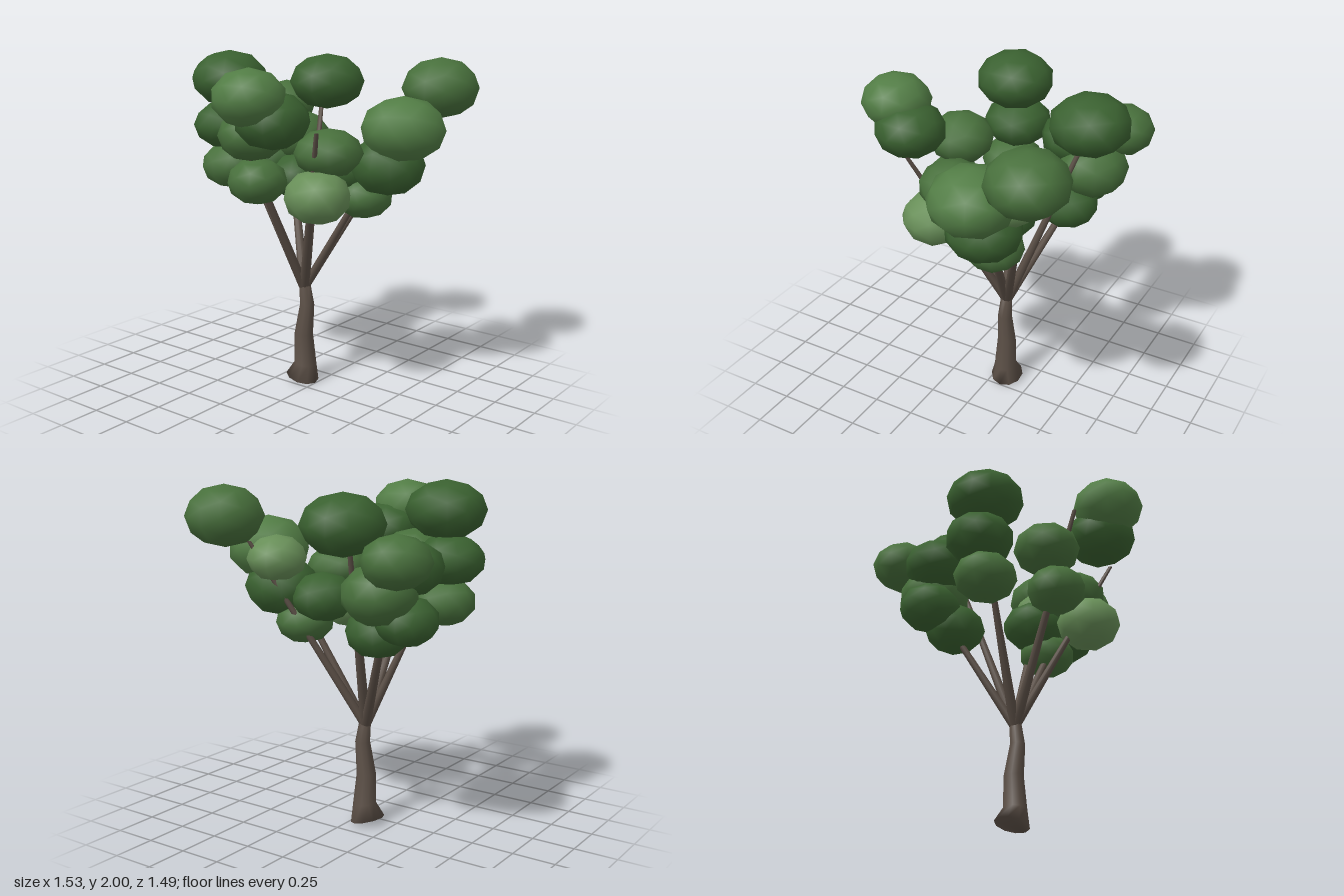
import * as THREE from 'three';

const bark = new THREE.MeshStandardMaterial({ color: 0x5c5047 });
const greens = [0x3a6130, 0x48703c, 0x527d45, 0x688f58].map(
  (color) => new THREE.MeshStandardMaterial({ color }));

// Tapered round limb through rings [x, y, z, radius, tilt], closed at both ends
function limb(rings, sides = 10) {
  const pos = [], index = [];
  for (const [x, y, z, r, tilt = 0] of rings) {
    for (let i = 0; i < sides; i++) {
      const a = (i / sides) * Math.PI * 2;
      pos.push(x + r * Math.cos(a), y - r * tilt * Math.cos(a), z + r * Math.sin(a));
    }
  }
  for (let k = 0; k < rings.length - 1; k++) {
    for (let i = 0; i < sides; i++) {
      const a = k * sides + i, b = k * sides + ((i + 1) % sides);
      index.push(a, a + sides, b, b, a + sides, b + sides);
    }
  }
  const top = (rings.length - 1) * sides;
  for (let i = 1; i < sides - 1; i++) {
    index.push(0, i, i + 1, top, top + i + 1, top + i);
  }
  const geo = new THREE.BufferGeometry();
  geo.setAttribute('position', new THREE.Float32BufferAttribute(pos, 3));
  geo.setIndex(index);
  geo.computeVertexNormals();
  return geo;
}

export function createModel() {
  const tree = new THREE.Group();
  tree.name = 'tree';
  const add = (name, geo, mat) => {
    const mesh = new THREE.Mesh(geo, mat);
    mesh.name = name;
    tree.add(mesh);
    return mesh;
  };

  // Crooked trunk with a flared, slanted foot
  add('trunk', limb([
    [-0.1, 0.032, -0.085, 0.098, 0.25],
    [-0.077, 0.125, -0.085, 0.067, 0.1],
    [-0.09, 0.31, -0.085, 0.056],
    [-0.064, 0.5, -0.085, 0.043],
    [-0.085, 0.65, -0.085, 0.032],
  ]), bark);

  // Straight branches fanning out from the top of the trunk
  const tips = [
    [-0.48, 1.56, 0.09], [-0.25, 1.72, -0.48], [-0.55, 1.6, -0.5], [-0.15, 1.74, 0.48],
    [0.31, 1.62, 0.32], [0.44, 1.66, -0.46], [0.45, 1.55, -0.2],
  ];
  for (const [x, y, z] of tips) {
    add('branch', limb([[-0.085, 0.6, -0.085, 0.031], [x, y, z, 0.012]], 8), bark);
  }

  // Flattened leaf clumps: x, y, z, radius, half height, shade
  const clumps = [
    [-0.49, 1.84, 0.095, 0.22, 0.16, 0],
    [-0.52, 1.57, 0.09, 0.195, 0.14, 0],
    [-0.48, 1.335, 0.1, 0.178, 0.135, 1],
    [-0.23, 1.79, -0.5, 0.226, 0.165, 0],
    [-0.585, 1.63, -0.545, 0.182, 0.14, 1],
    [-0.49, 1.57, -0.31, 0.205, 0.15, 0],
    [-0.42, 1.44, -0.445, 0.205, 0.165, 1],
    [-0.52, 1.3, -0.35, 0.175, 0.135, 0],
    [-0.34, 1.22, -0.34, 0.175, 0.14, 0],
    [-0.175, 1.56, 0.275, 0.188, 0.145, 1],
    [-0.12, 1.31, 0.295, 0.168, 0.13, 1],
    [0.05, 1.81, 0.555, 0.197, 0.155, 2],
    [0.105, 1.685, 0.435, 0.202, 0.155, 0],
    [0.22, 1.475, 0.09, 0.19, 0.135, 1],
    [0.23, 1.25, 0.205, 0.185, 0.15, 3],
    [0.55, 1.8, -0.53, 0.218, 0.17, 1],
    [0.515, 1.6, -0.2, 0.235, 0.18, 2],
    [0.41, 1.385, -0.21, 0.212, 0.17, 0],
    [0.265, 1.19, -0.19, 0.165, 0.125, 1],
    [0.14, 1.34, -0.18, 0.182, 0.14, 0],
    [0.35, 1.56, -0.33, 0.168, 0.13, 3],
  ];
  const ball = new THREE.IcosahedronGeometry(1.02, 1);
  clumps.forEach(([x, y, z, r, h, shade], i) => {
    const clump = add('leafClump', ball, greens[shade]);
    clump.position.set(x, y, z);
    clump.scale.set(r, h, r);
    clump.rotation.y = i * 1.3;
  });
  return tree;
}
